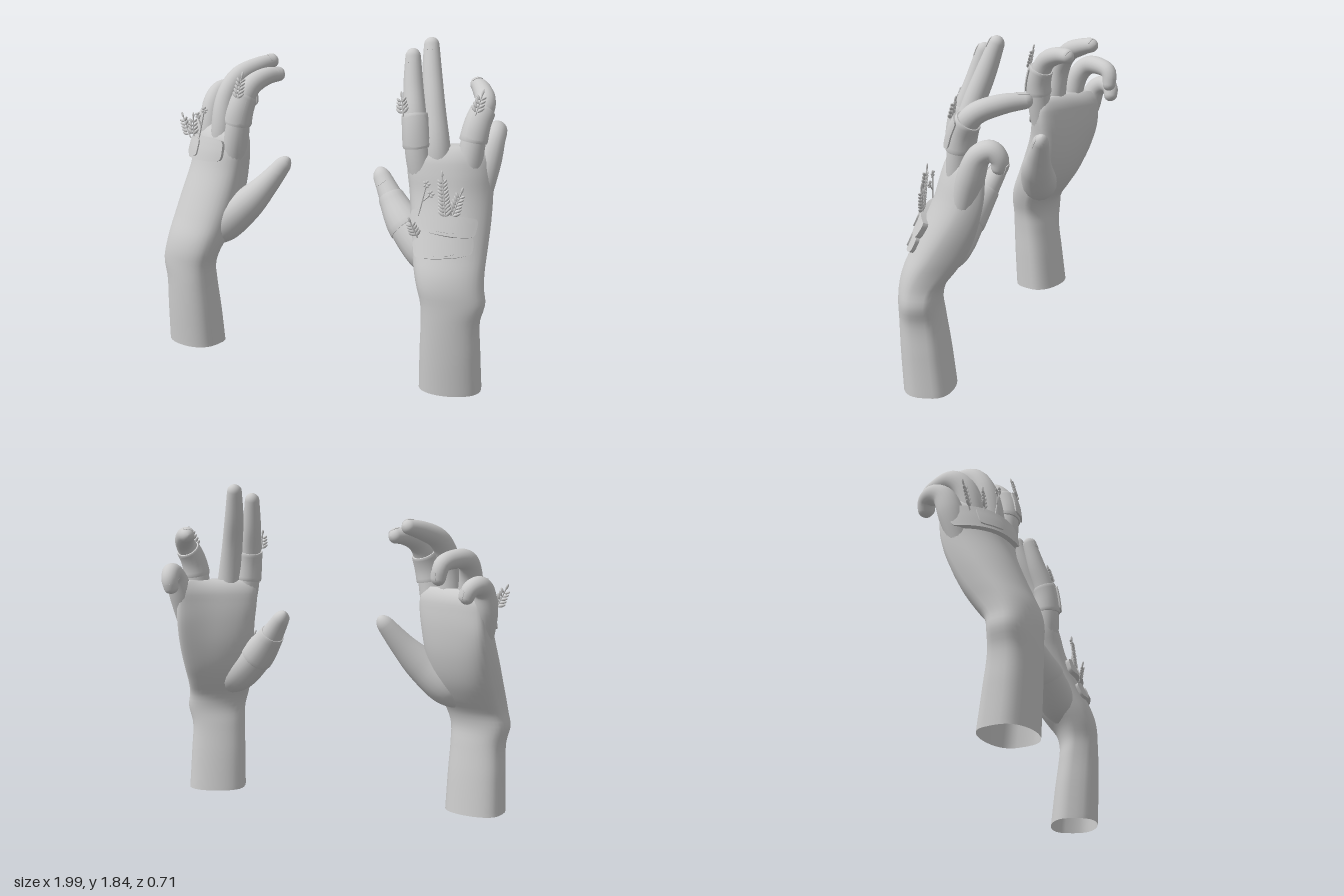
import * as THREE from 'three';
import { mergeGeometries, toCreasedNormals } from 'three/addons/utils/BufferGeometryUtils.js';

const V = (x, y, z) => new THREE.Vector3(x, y, z);
const material = new THREE.MeshStandardMaterial({ color: 0xcccccc, side: THREE.DoubleSide });

// Forearm and palm sections: y, centre x, centre z, half width, half depth, twist
const SECTIONS = [
  [0, 0.803, 0.195, 0.168, 0.138, 0.25], [0.22, 0.803, 0.215, 0.161, 0.13, 0.25],
  [0.4, 0.806, 0.23, 0.157, 0.119, 0.28], [0.5, 0.816, 0.232, 0.172, 0.114, 0.3],
  [0.58, 0.797, 0.225, 0.177, 0.122, 0.3], [0.66, 0.777, 0.19, 0.187, 0.143, 0.32],
  [0.76, 0.76, 0.14, 0.2, 0.152, 0.34], [0.9, 0.745, 0.087, 0.214, 0.145, 0.36],
  [1.05, 0.73, 0.047, 0.225, 0.123, 0.4], [1.17, 0.717, 0.033, 0.231, 0.104, 0.43],
  [1.25, 0.712, 0.022, 0.222, 0.08, 0.45], [1.29, 0.712, 0.015, 0.19, 0.045, 0.45],
];
const section = new THREE.CubicInterpolant(SECTIONS.map(s => s[0]), SECTIONS.flatMap(s => s.slice(1)), 5);

// Point on the forearm and palm; angle 0 is the back, positive towards the thumb
function skin(angle, y) {
  const [cx, cz, a, b, twist] = section.evaluate(y);
  const c = Math.cos(angle), s = Math.sin(angle);
  const cup = (s < 0 ? 0.06 : 0.015) * THREE.MathUtils.smoothstep(y, 0.62, 1.1);
  const u = a * s, v = b * Math.sign(c) * Math.abs(c) ** (c < 0 ? 0.62 : 0.75) - cup * s * s;
  return V(cx - u * Math.cos(twist) + v * Math.sin(twist), y, cz + u * Math.sin(twist) + v * Math.cos(twist));
}
function skinMap(p) {
  const angle = -p.x / 0.2, e = 0.01, o = skin(angle, p.y);
  const n = skin(angle, p.y + e).sub(o).cross(skin(angle + e, p.y).sub(o)).normalize();
  return o.addScaledVector(n, p.z);
}

// Skin rings of points into a smooth surface, with an optional closed end
function loft(rings, close = false) {
  const n = rings[0].length, pts = rings.flat(), index = [];
  for (let i = 0; i < rings.length - 1; i++) for (let j = 0; j < n; j++) {
    const a = i * n + j, b = i * n + (j + 1) % n;
    index.push(a, a + n, b, b, a + n, b + n);
  }
  if (close) {
    const last = rings.at(-1), base = (rings.length - 1) * n;
    pts.push(last.reduce((s, p) => s.add(p), V(0, 0, 0)).divideScalar(n));
    for (let j = 0; j < n; j++) index.push(base + j, pts.length - 1, base + (j + 1) % n);
  }
  const g = new THREE.BufferGeometry().setFromPoints(pts);
  g.setIndex(index);
  return g;
}

// Thin rounded patch laid on a surface by a mapping rule
function patch(map, x0, y0, w, h, lo, hi, roll = 0) {
  const g = new THREE.BoxGeometry(w, h, hi - lo, 18, 8, 1), pos = g.attributes.position;
  for (let i = 0; i < pos.count; i++) {
    const p = V().fromBufferAttribute(pos, i);
    const kx = Math.abs(2 * p.x / w) ** 5, ky = Math.abs(2 * p.y / h) ** 5;
    p.x *= 1 - 0.07 * ky;
    p.y *= 1 - 0.16 * kx;
    const q = V(x0 + p.x * Math.cos(roll) - p.y * Math.sin(roll), y0 + p.x * Math.sin(roll) + p.y * Math.cos(roll), p.z + (lo + hi) / 2);
    pos.setXYZ(i, ...map(q));
  }
  return g;
}

// Tapered finger along control points [x, y, z, radius]
function finger(data) {
  const curve = new THREE.CatmullRomCurve3(data.map(d => V(...d)));
  const radius = new THREE.CubicInterpolant(data.map((d, i) => i / (data.length - 1)), data.map(d => d[3]), 1);
  const tipStart = 1 - 1.2 * data.at(-1)[3] / curve.getLength();
  const normals = [], N = V(0, 0, 1);
  for (let i = 0; i <= 60; i++) {
    const T = curve.getTangent(i / 60);
    normals.push(N.addScaledVector(T, -N.dot(T)).normalize().clone());
  }
  const r = t => {
    const k = Math.max(0, (t - tipStart) / (1 - tipStart));
    return radius.evaluate(t)[0] * Math.sqrt(Math.max(0.0004, 1 - k * k));
  };
  const point = (angle, t, extra = 0) => {
    const T = curve.getTangent(t), n = normals[Math.round(t * 60)].clone();
    n.addScaledVector(T, -n.dot(T)).normalize();
    const b = n.clone().cross(T), R = r(t) + extra;
    return curve.getPoint(t).addScaledVector(n, Math.cos(angle) * R).addScaledVector(b, Math.sin(angle) * R);
  };
  const ring = (t, extra) => Array.from({ length: 18 }, (_, j) => point(j / 9 * Math.PI, t, extra));
  const ts = [];
  for (let i = 0; i < 26; i++) ts.push(tipStart * i / 26);
  for (let i = 0; i <= 6; i++) ts.push(tipStart + (1 - tipStart) * Math.sin(i * Math.PI / 12));
  const map = w => p => point(-p.x / w, p.y, p.z);
  return {
    body: loft(ts.map(t => ring(t, 0)), true),
    nail: patch(map(data.at(-1)[3]), 0, tipStart - 0.01, data.at(-1)[3] * 1.5, (1 - tipStart) * 1.5, -0.004, 0.003),
    band(a, b, thick) {
      const rows = [[a, -0.004], [a, thick * 0.7], [a + 0.012, thick]];
      for (let i = 1; i < 8; i++) rows.push([a + (b - a) * i / 8, thick]);
      rows.push([b - 0.012, thick], [b, thick * 0.7], [b, -0.004]);
      return loft(rows.map(([t, e]) => ring(t, e)));
    },
    pad: (a, b, thick, shift) => patch(map(0.065), shift, (a + b) / 2, 0.09, (b - a) * 0.85, 0, thick + 0.009),
  };
}

// Little plant: a stem with paired leaves, or with two small blossoms
function sprig(from, to, blossom) {
  const a = V(...from), b = V(...to), L = a.distanceTo(b), parts = [];
  const stem = (x0, y0, x1, y1) => parts.push(new THREE.TubeGeometry(new THREE.LineCurve3(V(x0, y0, 0), V(x1, y1, 0)), 2, 0.004, 6));
  const blob = (x, y, z, sx, sy, sz, roll) =>
    parts.push(new THREE.SphereGeometry(1, 8, 6).scale(sx, sy, sz).rotateZ(roll).translate(x, y, z));
  stem(0, 0, 0, L * 0.96);
  if (blossom) {
    stem(0, L * 0.45, 0.035, L * 0.72);
    for (const [x, y] of [[0, L], [0.035, L * 0.75]]) for (let i = 0; i < 5; i++) {
      const q = i * Math.PI * 0.4;
      blob(x + Math.sin(q) * 0.012, y + Math.cos(q) * 0.012, 0, 0.007, 0.01, 0.006, -q);
    }
  } else {
    const n = Math.max(4, Math.round(L / 0.024));
    for (let i = 1; i < n; i++) for (const s of [-1, 1]) {
      const k = 1 - 0.35 * i / n;
      blob(s * 0.021 * k, L * (0.12 + 0.8 * i / n), 0.004, 0.01 * k, 0.023 * k, 0.009, -s * 0.8);
    }
    blob(0, L, 0, 0.007, 0.018, 0.006, 0);
  }
  return mergeGeometries(parts)
    .applyQuaternion(new THREE.Quaternion().setFromUnitVectors(V(0, 1, 0), b.sub(a).normalize())).translate(...a);
}

// All hand data has the thumb towards -x; the other hand is mirrored.
// Bands: start, end, thickness, sideways shift of the pad (none: no pad)
const THUMB = [[0.75, 0.62, 0.19, 0.05], [0.64, 0.715, 0.145, 0.108], [0.495, 0.845, 0.105, 0.096], [0.398, 0.955, 0.058, 0.07], [0.278, 1.12, -0.01, 0.04]];
const HANDS = {
  leftHand: {
    side: 1,
    fingers: {
      thumb: [THUMB, [0.48, 0.8, 0.006]],
      indexFinger: [[[0.6, 0.98, 0.08, 0.06], [0.56, 1.23, 0.105, 0.07], [0.535, 1.42, 0.1, 0.063], [0.5, 1.6, 0.05, 0.053], [0.475, 1.79, 0, 0.038]], [0.32, 0.55, 0.01, 0.03]],
      middleFinger: [[[0.68, 1, 0.05, 0.06], [0.65, 1.25, 0.065, 0.072], [0.61, 1.48, 0.02, 0.06], [0.57, 1.66, -0.04, 0.053], [0.54, 1.84, -0.1, 0.038]]],
      ringFinger: [[[0.79, 1, 0.01, 0.055], [0.81, 1.22, 0, 0.068], [0.832, 1.4, -0.03, 0.062], [0.85, 1.505, -0.1, 0.056], [0.79, 1.555, -0.22, 0.05], [0.71, 1.57, -0.35, 0.036]], [0.3, 0.53, 0.01, 0.03]],
      littleFinger: [[[0.86, 0.98, -0.03, 0.055], [0.88, 1.19, -0.09, 0.07], [0.893, 1.315, -0.145, 0.06], [0.888, 1.345, -0.205, 0.054], [0.88, 1.305, -0.245, 0.047], [0.87, 1.23, -0.235, 0.037]]],
    },
    plasters: [[-0.05, 0.795, 0.33, 0.095, 0.09, 0.02], [-0.05, 0.91, 0.34, 0.1, -0.13, 0.03]],
    sprigs: [
      [[0.77, 0.93, 0.24], [0.735, 1.18, 0.22]], [[0.79, 0.94, 0.22], [0.84, 1.1, 0.2]],
      [[0.63, 0.84, 0.28], [0.595, 0.94, 0.31]], [[0.62, 0.95, 0.25], [0.655, 1.12, 0.23], true],
      [[0.49, 1.45, 0.16], [0.465, 1.56, 0.13]], [[0.84, 1.46, 0.03], [0.865, 1.58, -0.01]],
    ],
  },
  rightHand: {
    side: -1,
    fingers: {
      thumb: [THUMB],
      indexFinger: [[[0.6, 0.98, 0.08, 0.06], [0.555, 1.22, 0.11, 0.07], [0.522, 1.4, 0.105, 0.063], [0.49, 1.52, 0.05, 0.058], [0.44, 1.57, -0.05, 0.05], [0.38, 1.575, -0.15, 0.036]], [0.3, 0.51, 0.01, 0]],
      middleFinger: [[[0.68, 1, 0.05, 0.06], [0.665, 1.24, 0.065, 0.072], [0.66, 1.44, 0.03, 0.062], [0.62, 1.555, -0.04, 0.058], [0.55, 1.61, -0.15, 0.05], [0.48, 1.64, -0.26, 0.036]]],
      ringFinger: [[[0.78, 1, 0.01, 0.055], [0.785, 1.22, 0, 0.068], [0.795, 1.38, -0.04, 0.062], [0.785, 1.455, -0.11, 0.056], [0.73, 1.465, -0.21, 0.05], [0.69, 1.44, -0.275, 0.045], [0.67, 1.335, -0.285, 0.035]]],
      littleFinger: [[[0.86, 0.98, -0.03, 0.055], [0.885, 1.18, -0.085, 0.069], [0.885, 1.295, -0.13, 0.059], [0.87, 1.33, -0.19, 0.053], [0.835, 1.315, -0.24, 0.046], [0.805, 1.24, -0.25, 0.036]]],
    },
    plasters: [[0.06, 1.15, 0.43, 0.13, -0.04, 0.025]],
    sprigs: [
      [[0.92, 1.18, 0.02], [0.985, 1.31, 0]], [[0.86, 1.2, 0.08], [0.865, 1.33, 0.07]],
      [[0.8, 1.2, 0.12], [0.75, 1.38, 0.13], true], [[0.51, 1.45, 0.17], [0.495, 1.6, 0.13]],
    ],
  },
};

function buildHand(name, { side, fingers, plasters, sprigs }) {
  const hand = new THREE.Group();
  hand.name = name;
  const add = (part, g, crease) => {
    if (side < 0) {
      g.scale(-1, 1, 1);
      const ix = g.index.array;
      for (let i = 0; i < ix.length; i += 3) [ix[i], ix[i + 1]] = [ix[i + 1], ix[i]];
    }
    g.computeVertexNormals();
    const mesh = new THREE.Mesh(crease ? toCreasedNormals(g, 0.6) : g, material);
    mesh.name = part;
    hand.add(mesh);
  };

  // Forearm and palm, open at the bottom
  const rings = [];
  for (let i = 0; i <= 48; i++) rings.push(Array.from({ length: 36 }, (_, j) => skin(j / 18 * Math.PI, 1.29 * i / 48)));
  add('forearmAndPalm', loft(rings, true));

  // Fingers with nails and wrapped bands
  for (const [part, [data, band]] of Object.entries(fingers)) {
    const f = finger(data);
    add(part, f.body);
    add(part + 'Nail', f.nail);
    if (!band) continue;
    add(part + 'Band', f.band(...band), true);
    if (band.length > 3) add(part + 'BandPad', f.pad(...band));
  }

  // Plasters on the back of the hand, with raised pads
  for (const [x, y, w, h, roll, thick] of plasters) {
    add('plaster', patch(skinMap, x, y, w, h, -0.015, thick, roll));
    add('plasterPad', patch(skinMap, x + 0.01, y, 0.12, h * 0.75, 0, thick + 0.008, roll));
  }

  // Plants growing from under the plasters and bands
  for (const s of sprigs) add('sprig', sprig(...s));
  return hand;
}

export function createModel() {
  const model = new THREE.Group();
  model.name = 'pairOfHands';
  for (const [name, spec] of Object.entries(HANDS)) model.add(buildHand(name, spec));
  return model;
}
